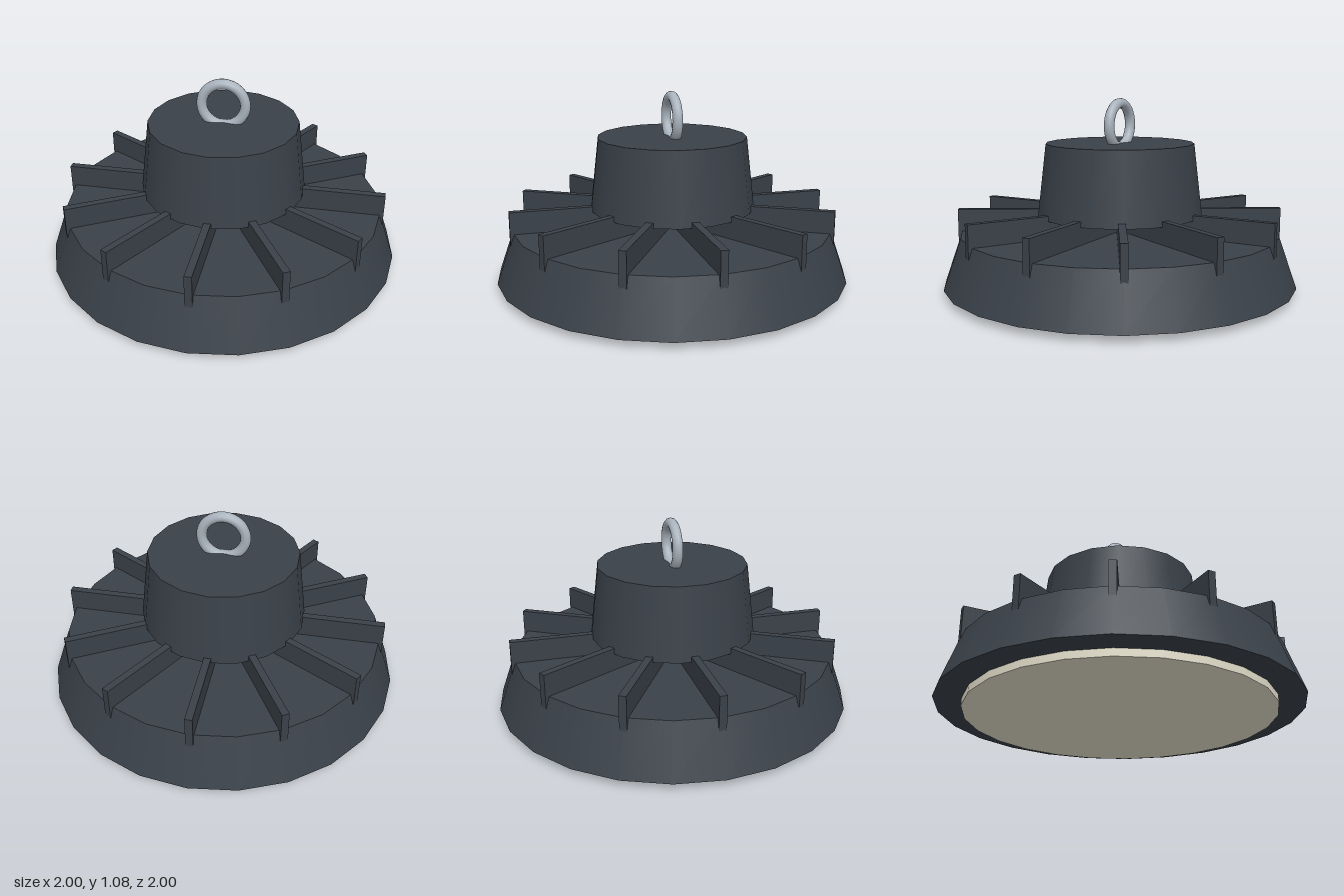
import * as THREE from 'three';

export function createModel() {
  const group = new THREE.Group();
  const housing = new THREE.MeshStandardMaterial({ name: 'dark grey housing', color: 0x3a4149 });
  const diffuser = new THREE.MeshStandardMaterial({ name: 'warm white diffuser', color: 0xe9e4d0 });
  const steel = new THREE.MeshStandardMaterial({ name: 'light steel', color: 0xa9b3bd });

  const add = (name, geometry, material, y) => {
    const mesh = new THREE.Mesh(geometry, material);
    mesh.name = name;
    mesh.position.y = y;
    group.add(mesh);
    return mesh;
  };

  // Tapered cylinder standing between two heights
  const drum = (name, rTop, rBottom, y0, y1, sides, material) =>
    add(name, new THREE.CylinderGeometry(rTop, rBottom, y1 - y0, sides), material, (y0 + y1) / 2);

  drum('diffuserLens', 0.85, 0.85, 0, 0.06, 24, diffuser);
  drum('reflectorHousing', 0.9, 1, 0.04, 0.325, 24, housing);
  drum('driverHousing', 0.42, 0.468, 0.42, 0.825, 18, housing);

  // Cooling fins: each bar crosses the centre and makes two opposite fins
  const bar = new THREE.BoxGeometry(1.84, 0.2, 0.04);
  for (let i = 0; i < 6; i++) {
    add('coolingFinPair', bar, housing, 0.35).rotation.y = (i * Math.PI) / 6;
  }

  // Upright hanging ring
  add('hangingRing', new THREE.TorusGeometry(0.122, 0.029, 12, 32), steel, 0.925);

  return group;
}
